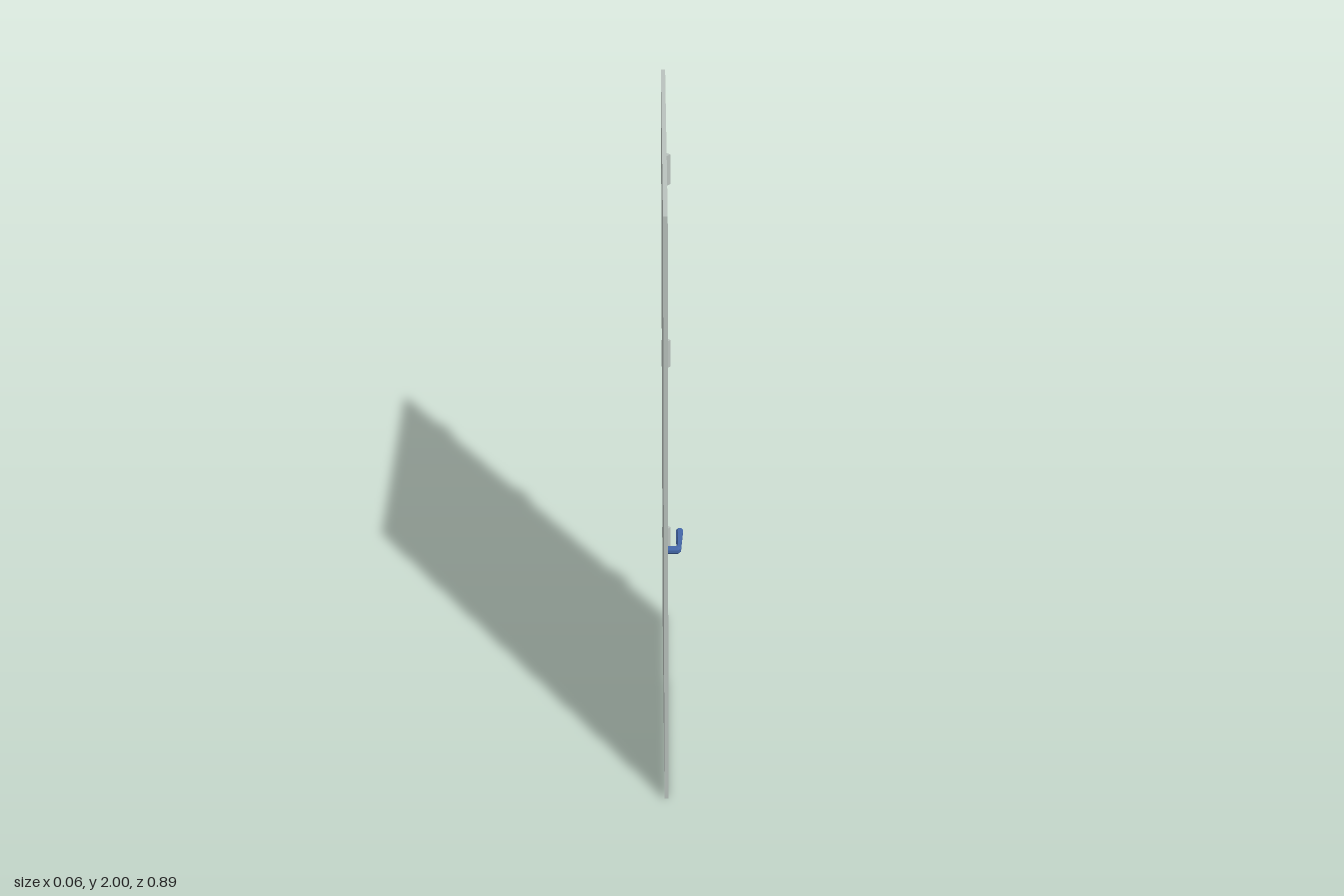
import * as THREE from 'three';

const panelGrey = new THREE.MeshStandardMaterial({ color: 0xbac3be, flatShading: true });
panelGrey.name = 'panelGrey';
const handleBlue = new THREE.MeshStandardMaterial({ color: 0x4468aa, flatShading: true });
handleBlue.name = 'handleBlue';

// Lofts an octagonal bar through stations of [innerX, innerZ, outerX, outerZ]
function loftBar(stations, y, halfHeight, sides = 8) {
  const positions = [], index = [];
  const scale = 1 / Math.cos(Math.PI / sides);
  for (const [ix, iz, ox, oz] of stations) {
    for (let i = 0; i < sides; i++) {
      const a = ((i + 0.5) / sides) * Math.PI * 2;
      const u = 0.5 + 0.5 * scale * Math.cos(a);
      positions.push(ix + (ox - ix) * u, y + halfHeight * scale * Math.sin(a), iz + (oz - iz) * u);
    }
  }
  for (let r = 0; r < stations.length - 1; r++) {
    for (let i = 0; i < sides; i++) {
      const j = (i + 1) % sides;
      const a = r * sides, b = a + sides;
      index.push(a + i, b + i, a + j, b + i, b + j, a + j);
    }
  }
  // End caps
  const end = (stations.length - 1) * sides;
  for (let i = 1; i < sides - 1; i++) {
    index.push(0, i, i + 1, end, end + i + 1, end + i);
  }
  const geometry = new THREE.BufferGeometry();
  geometry.setAttribute('position', new THREE.Float32BufferAttribute(positions, 3));
  geometry.setIndex(index);
  const flat = geometry.toNonIndexed();
  flat.computeVertexNormals();
  return flat;
}

export function createModel() {
  const door = new THREE.Group();
  door.name = 'door';

  // Door leaf
  const leaf = new THREE.Mesh(new THREE.BoxGeometry(0.012, 2, 0.874), panelGrey);
  leaf.name = 'doorLeaf';
  leaf.position.set(-0.022, 1, 0.007);
  door.add(leaf);

  // Three four-sided hinge barrels on the rear edge
  const barrel = new THREE.CylinderGeometry(0.0135, 0.0135, 0.097, 4);
  ['lowerHinge', 'middleHinge', 'upperHinge'].forEach((name, i) => {
    const hinge = new THREE.Mesh(barrel, panelGrey);
    hinge.name = name;
    hinge.position.set(-0.015, [0.328, 1.046, 1.682][i], -0.4305);
    door.add(hinge);
  });

  // Lever handle: stem out of the leaf, bent corner, flaring grip
  const handle = new THREE.Mesh(loftBar([
    [-0.0165, 0.396, -0.0165, 0.411],
    [0.006, 0.396, 0.012, 0.411],
    [0.0075, 0.394, 0.0205, 0.404],
    [0.0075, 0.315, 0.0275, 0.315],
  ], 0.915, 0.0115), handleBlue);
  handle.name = 'leverHandle';
  door.add(handle);

  return door;
}
